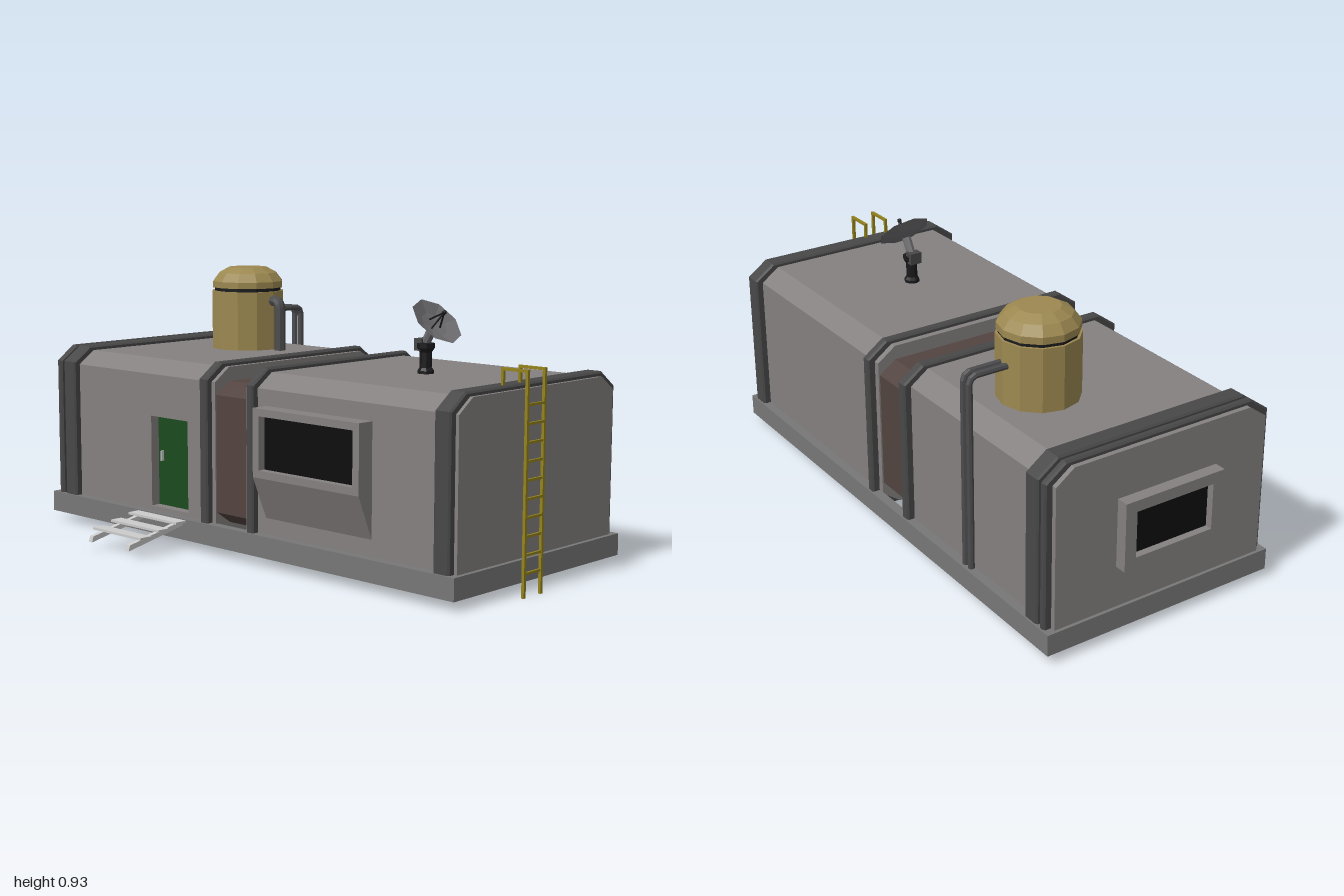
import * as THREE from 'three';

const mat = (color) => new THREE.MeshStandardMaterial({ color, flatShading: true, side: THREE.DoubleSide });

export function createModel() {
  const model = new THREE.Group();
  const wall = mat(0x858080), trim = mat(0x484848), plinth = mat(0x777777), brown = mat(0x524340);
  const gold = mat(0x9c8850), black = mat(0x1a1a1c), glass = mat(0x0e0e0e), green = mat(0x1b4a1f);
  const yellow = mat(0x94831e), steel = mat(0xcccccc), pipeGrey = mat(0x4c4c4e), dishGrey = mat(0x6c6c6f);

  function add(name, geometry, material, parent = model) {
    const mesh = new THREE.Mesh(geometry, material);
    mesh.name = name;
    parent.add(mesh);
    return mesh;
  }
  // Box given by its limits on each axis
  function box(name, x0, x1, y0, y1, z0, z1, material, parent) {
    const g = new THREE.BoxGeometry(x1 - x0, y1 - y0, z1 - z0);
    g.translate((x0 + x1) / 2, (y0 + y1) / 2, (z0 + z1) / 2);
    return add(name, g, material, parent);
  }
  const polygon = (pts) => new THREE.Shape(pts.map(([a, b]) => new THREE.Vector2(a, b)));
  const rect = (a0, a1, b0, b1) => polygon([[a0, b0], [a1, b0], [a1, b1], [a0, b1]]);
  // Side profile in (z, y), swept along x from x0 to x1
  function sweep(name, shape, x0, x1, material, bevel = 0) {
    const g = new THREE.ExtrudeGeometry(shape, {
      depth: x1 - x0 - 2 * bevel, bevelEnabled: bevel > 0, bevelSize: bevel,
      bevelOffset: -bevel, bevelThickness: bevel, bevelSegments: 1,
    });
    g.rotateY(-Math.PI / 2).translate(x1 - bevel, 0, 0);
    return add(name, g, material);
  }
  // Round bar through points with rounded corners
  function pipe(name, pts, r, material, bend = 0.03, parent = model) {
    const v = pts.map((p) => new THREE.Vector3(...p));
    const path = new THREE.CurvePath();
    let from = v[0];
    for (let i = 1; i < v.length - 1; i++) {
      const a = v[i].clone().add(v[i - 1].clone().sub(v[i]).setLength(bend));
      const b = v[i].clone().add(v[i + 1].clone().sub(v[i]).setLength(bend));
      path.add(new THREE.LineCurve3(from, a));
      path.add(new THREE.QuadraticBezierCurve3(a, v[i], b));
      from = b;
    }
    path.add(new THREE.LineCurve3(from, v[v.length - 1]));
    return add(name, new THREE.TubeGeometry(path, v.length > 2 ? 48 : 1, r, 8), material, parent);
  }

  // Eight-sided cross-section, chamfered at roof and floor
  const hull = (zb, zf, y0, y1, cz, cy, notch = []) => polygon([
    [zb + cz, y0], [zf - cz, y0], [zf, y0 + cy], ...notch, [zf, y1 - cy],
    [zf - cz, y1], [zb + cz, y1], [zb, y1 - cy], [zb, y0 + cy],
  ]);
  const section = (notch) => hull(-0.517, 0.276, 0.054, 0.635, 0.065, 0.047, notch);
  const body = section([]);
  const doorway = section([[0.276, 0.12], [0.235, 0.12], [0.235, 0.44], [0.276, 0.44]]);
  sweep('leftModule', body, -0.959, -0.446, wall);
  sweep('doorwaySection', doorway, -0.446, -0.256, wall);
  sweep('leftModuleInner', body, -0.256, -0.116, wall);
  sweep('rightModule', body, 0.034, 0.934, wall);

  // Connecting corridor
  sweep('corridor', hull(-0.512, 0.271, 0.1, 0.587, 0.06, 0.042), -0.13, 0.045, brown);

  // Raised ribs around the hull
  const rib = hull(-0.543, 0.301, 0.038, 0.65, 0.072, 0.052);
  for (const [a, b] of [[-0.942, -0.916], [-0.904, -0.841], [-0.171, -0.133], [0.056, 0.089], [0.859, 0.922]])
    sweep('rib', rib, a, b, trim, 0.006);

  // Base frame, open below
  const frame = rect(-0.549, 0.308, -0.97, 0.949);
  frame.holes.push(rect(-0.515, 0.274, -0.935, 0.914));
  const frameGeo = new THREE.ExtrudeGeometry(frame, { depth: 0.073, bevelEnabled: false });
  // shape (z, x) with depth in y
  frameGeo.applyMatrix4(new THREE.Matrix4().set(0, 1, 0, 0, 0, 0, 1, 0.032, 1, 0, 0, 0, 0, 0, 0, 1));
  add('baseFrame', frameGeo, plinth);

  // Door with handle
  box('door', -0.445, -0.257, 0.121, 0.439, 0.23, 0.243, green);
  box('doorHandle', -0.424, -0.417, 0.28, 0.315, 0.243, 0.255, steel);

  // Front window bay: solid cheeks with a recessed slice between
  const bay = (notch) => polygon([[0.26, 0.16], [0.276, 0.16], [0.337, 0.305], ...notch, [0.337, 0.533], [0.26, 0.533]]);
  sweep('bayCheek', bay([]), 0.127, 0.154, wall);
  sweep('bayCheek', bay([]), 0.566, 0.593, wall);
  sweep('bayMiddle', bay([[0.337, 0.33], [0.305, 0.33], [0.305, 0.508], [0.337, 0.508]]), 0.154, 0.566, wall);
  box('bayGlass', 0.154, 0.566, 0.33, 0.508, 0.3, 0.31, glass);

  // End window
  const endFrame = rect(-0.292, 0.083, 0.247, 0.48);
  endFrame.holes.push(rect(-0.25, 0.041, 0.285, 0.442));
  sweep('endWindowFrame', endFrame, -1, -0.955, wall);
  box('endWindowGlass', -0.975, -0.955, 0.28, 0.447, -0.255, 0.046, glass);

  // Entrance steps
  const stringer = polygon([[0.3, 0.083], [0.549, 0.03], [0.543, 0.05], [0.3, 0.1]]);
  for (const x of [-0.464, -0.27]) sweep('stepStringer', stringer, x, x + 0.018, steel);
  for (let i = 0; i < 3; i++) {
    const z = 0.309 + i * 0.08, y = 0.094 - i * 0.0145;
    box('stepTread', -0.482, -0.231, y, y + 0.008, z, z + 0.046, steel);
  }

  // Water tank
  const tank = new THREE.Group();
  tank.name = 'waterTank';
  tank.position.set(-0.516, 0, -0.265);
  model.add(tank);
  const lathe = (pts, n) => new THREE.LatheGeometry(pts.map(([r, y]) => new THREE.Vector2(r, y)), n);
  add('tankBody', lathe([[0.135, 0.63], [0.135, 0.848], [0, 0.848]], 12), gold, tank);
  add('tankSeam', lathe([[0.126, 0.845], [0.126, 0.865]], 12), black, tank);
  add('tankDome', lathe([[0, 0.86], [0.132, 0.86], [0.132, 0.883], [0.108, 0.914], [0.07, 0.934], [0, 0.934]], 12), gold, tank);

  // Tank pipes
  pipe('overflowPipe', [[-0.406, 0.815, -0.265], [-0.348, 0.815, -0.265], [-0.348, 0.62, -0.265]], 0.02, pipeGrey);
  for (const x of [-0.53, -0.499])
    pipe('supplyPipe', [[x, 0.77, -0.37], [x, 0.77, -0.529], [x, 0.095, -0.529]], 0.011, pipeGrey);

  // Satellite dish on a short mast
  const mast = new THREE.Group();
  mast.name = 'dishMast';
  mast.position.set(0.473, 0, -0.118);
  model.add(mast);
  add('mastPost', lathe([[0.027, 0.63], [0.027, 0.645], [0.02, 0.655], [0.02, 0.705], [0.03, 0.72], [0.03, 0.735], [0, 0.74]], 8), black, mast);
  box('mastMotor', -0.033, 0, 0.71, 0.75, -0.022, 0.022, trim, mast);
  pipe('mastArm', [[-0.005, 0.73, 0], [0.03, 0.79, 0]], 0.016, dishGrey, 0, mast);
  const dish = new THREE.Group();
  dish.name = 'dish';
  dish.position.set(0.046, 0.81, 0);
  dish.rotation.z = -Math.PI / 4;
  mast.add(dish);
  add('dishReflector', lathe([[0, -0.024], [0.05, -0.016], [0.095, 0]], 8), dishGrey, dish);
  for (let i = 0; i < 3; i++) {
    const a = (i / 3) * Math.PI * 2 + Math.PI;
    pipe('feedStrut', [[0.025 * Math.cos(a), -0.02, 0.025 * Math.sin(a)], [0, 0.042, 0]], 0.003, black, 0, dish);
  }
  add('feedHorn', new THREE.SphereGeometry(0.008, 8, 6).translate(0, 0.042, 0), black, dish);

  // Ladder with hooked rails
  for (const z of [0.028, -0.058]) {
    box('ladderRail', 0.99, 1, 0, 0.705, z - 0.005, z + 0.005, yellow);
    box('ladderHook', 0.9, 1, 0.696, 0.705, z - 0.005, z + 0.005, yellow);
    box('ladderFoot', 0.898, 0.907, 0.63, 0.705, z - 0.005, z + 0.005, yellow);
  }
  for (let i = 0; i < 10; i++) {
    const y = 0.076 + i * 0.058;
    box('ladderRung', 0.991, 0.999, y - 0.004, y + 0.004, -0.058, 0.028, yellow);
  }
  return model;
}
